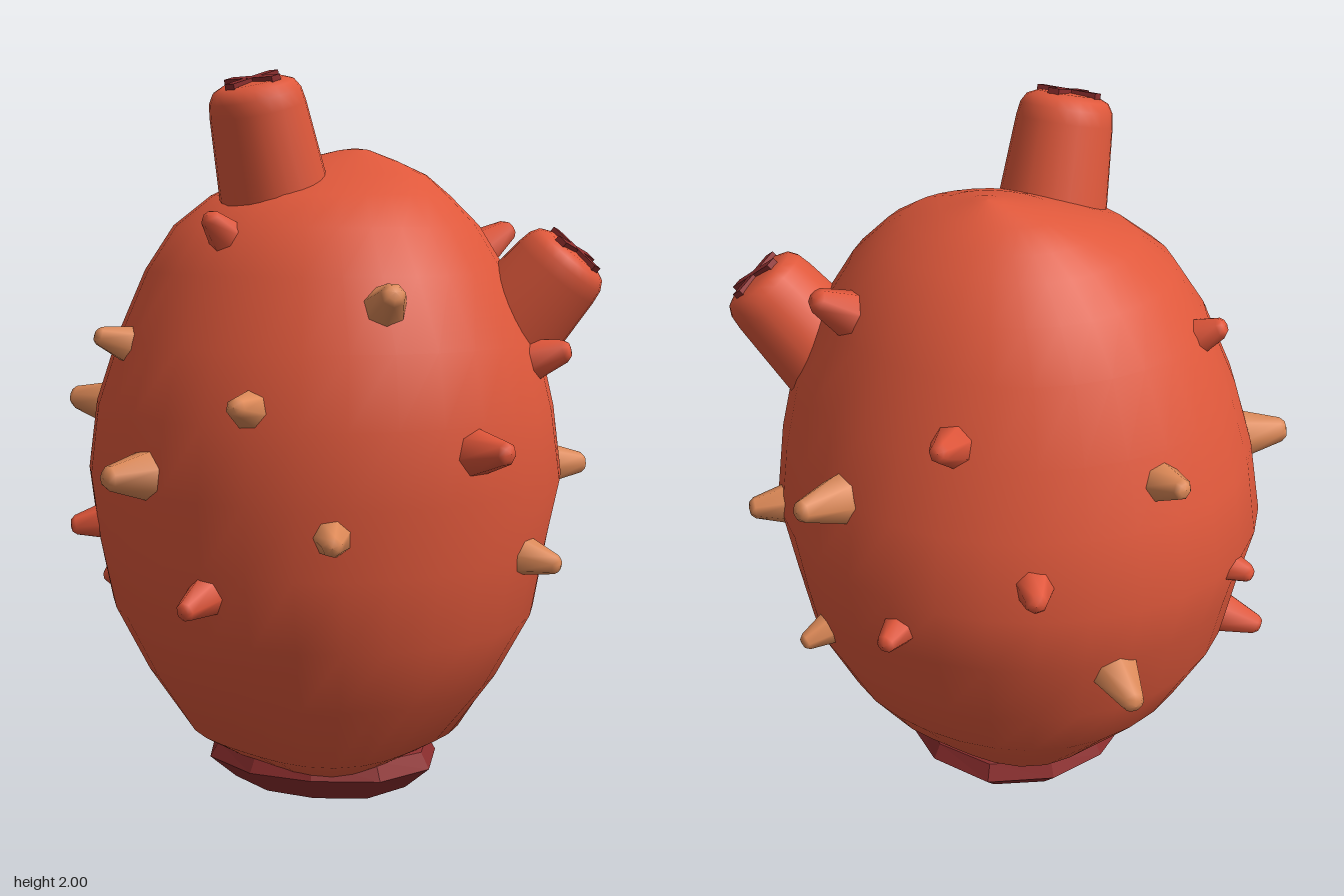
import * as THREE from 'three';

const mat = (name, color) => new THREE.MeshStandardMaterial({ name, color });
const UP = new THREE.Vector3(0, 1, 0);

// Closed loft through offset ellipses: [y, xMin, xMax, zMin, zMax]
function loft(rings, sides) {
  const pos = [], idx = [];
  rings.forEach(([y, x0, x1, z0, z1], i) => {
    const low = Math.max(0, 1 - y / 0.4); // shallow folds near the foot
    for (let j = 0; j < sides; j++) {
      const a = (j / sides) * Math.PI * 2;
      const bump = 1 + 0.008 * Math.sin(3 * a + i * 0.9) * Math.sin(2 * a)
        - 0.1 * low * (1 + Math.cos(4 * a));
      pos.push((x0 + x1) / 2 + Math.cos(a) * bump * (x1 - x0) / 2, y,
        (z0 + z1) / 2 + Math.sin(a) * bump * (z1 - z0) / 2);
      if (i < rings.length - 1) {
        const k = (j + 1) % sides, p = i * sides, q = p + sides;
        idx.push(p + j, q + j, p + k, q + j, q + k, p + k);
      }
    }
  });
  const g = new THREE.BufferGeometry();
  g.setAttribute('position', new THREE.Float32BufferAttribute(pos, 3));
  g.setIndex(idx);
  g.computeVertexNormals();
  return g;
}

const lathe = (pts, sides) =>
  new THREE.LatheGeometry(pts.map(([r, y]) => new THREE.Vector2(r, y)), sides);

export function createModel() {
  const root = new THREE.Group();
  root.name = 'seaSquirt';
  const skin = mat('coralSkin', 0xdf583b);
  const maroon = mat('maroon', 0x8a2d2d);
  const tan = mat('tanSpike', 0xde8a58);
  const red = mat('redSpike', 0xe0563a);

  const add = (parent, name, geo, material) => {
    const m = new THREE.Mesh(geo, material);
    m.name = name;
    parent.add(m);
    return m;
  };

  // Lumpy egg-shaped body, its crown leaning back
  add(root, 'body', loft([
    [0.12, -0.25, 0.26, -0.27, 0.25],
    [0.20, -0.38, 0.39, -0.38, 0.38],
    [0.38, -0.53, 0.50, -0.495, 0.475],
    [0.56, -0.62, 0.595, -0.58, 0.56],
    [0.75, -0.66, 0.62, -0.63, 0.59],
    [0.93, -0.705, 0.65, -0.66, 0.595],
    [1.12, -0.665, 0.635, -0.61, 0.585],
    [1.30, -0.61, 0.59, -0.56, 0.53],
    [1.48, -0.52, 0.50, -0.48, 0.46],
    [1.60, -0.43, 0.42, -0.42, 0.39],
    [1.68, -0.34, 0.33, -0.35, 0.28],
    [1.735, -0.27, 0.24, -0.30, 0.13],
    [1.775, -0.18, 0.13, -0.24, 0.01],
    [1.805, -0.06, 0.03, -0.18, -0.11],
    [1.81, -0.015, -0.015, -0.15, -0.15],
  ], 32), skin);

  // Faceted foot, slightly irregular
  let foot = lathe([[0, 0], [0.16, 0.01], [0.265, 0.045], [0.34, 0.115], [0.315, 0.16], [0.2, 0.195]], 11);
  const p = foot.attributes.position;
  for (let i = 0; i < p.count; i++) {
    const a = Math.atan2(p.getZ(i), p.getX(i)), r = 1 + 0.04 * Math.sin(3 * a + 1);
    p.setXYZ(i, p.getX(i) * r, p.getY(i) * (1 + 0.08 * Math.sin(2 * a)), p.getZ(i) * r * 0.93);
  }
  foot = foot.toNonIndexed();
  foot.computeVertexNormals();
  add(root, 'foot', foot, maroon).position.set(-0.015, 0, -0.025);

  // Siphons with domed tips, each closed by a cross-shaped slit; origin at the tip
  const siphonProfile = [[0.155, -0.42], [0.146, -0.3], [0.127, -0.07], [0.121, -0.035],
    [0.107, -0.012], [0.08, 0], [0, 0.004]];
  const siphon = (name, tip, axis) => {
    const g = new THREE.Group();
    g.name = name;
    g.position.set(...tip);
    g.quaternion.setFromUnitVectors(UP, new THREE.Vector3(...axis).normalize());
    add(g, 'siphonTube', lathe(siphonProfile, 24), skin);
    add(g, 'slitAcross', new THREE.BoxGeometry(0.17, 0.024, 0.032), maroon);
    add(g, 'slitAlong', new THREE.BoxGeometry(0.032, 0.0235, 0.17), maroon);
    root.add(g);
  };
  siphon('topSiphon', [-0.015, 1.967, 0.256], [0, 0.96, 0.27]);
  siphon('sideSiphon', [0.598, 1.535, -0.317], [0.6, 0.8, -0.29]);

  // Blunt spikes: middle x, y, z, size; each points away from the body
  const spikeGeo = lathe([[0.066, -0.1], [0.058, -0.05], [0.027, 0.052], [0.017, 0.063], [0, 0.066]], 7);
  const spikes = (name, material, list) => list.forEach(([x, y, z, s]) => {
    const m = add(root, name, spikeGeo, material);
    m.position.set(x, y, z);
    m.scale.setScalar(s);
    const n = new THREE.Vector3(x / 0.42, (y - 0.93) / 0.77, z / 0.38).normalize();
    m.quaternion.setFromUnitVectors(UP, n);
  });
  spikes('tanSpike', tan, [
    [-0.28, 1.30, 0.50, 0.95], [-0.59, 1.10, 0.31, 1.25], [-0.09, 0.98, 0.63, 1.2],
    [0.235, 1.17, 0.55, 0.95], [0.445, 1.415, 0.27, 1.2], [0.43, 0.86, 0.45, 0.95],
    [0.645, 0.75, -0.11, 0.95], [-0.59, 1.23, -0.26, 1], [0.48, 0.94, -0.46, 1.1],
    [0.285, 0.64, -0.55, 0.9], [0.18, 1.13, -0.64, 1.1], [-0.56, 0.70, -0.40, 1.15],
  ]);
  spikes('redSpike', red, [
    [0.02, 1.59, 0.41, 0.95], [-0.51, 1.475, 0.07, 1.05], [-0.42, 0.79, 0.47, 1.05],
    [0.115, 0.68, 0.60, 0.95], [-0.63, 0.565, 0.19, 1.05], [0.66, 1.06, 0.13, 1.1],
    [-0.69, 0.90, -0.05, 0.9], [-0.04, 0.83, -0.65, 0.95], [-0.15, 1.35, -0.565, 0.95],
    [-0.38, 1.01, -0.54, 1.05], [0.27, 1.55, -0.40, 1.2], [0.58, 1.265, -0.21, 1.15],
  ]);
  return root;
}
